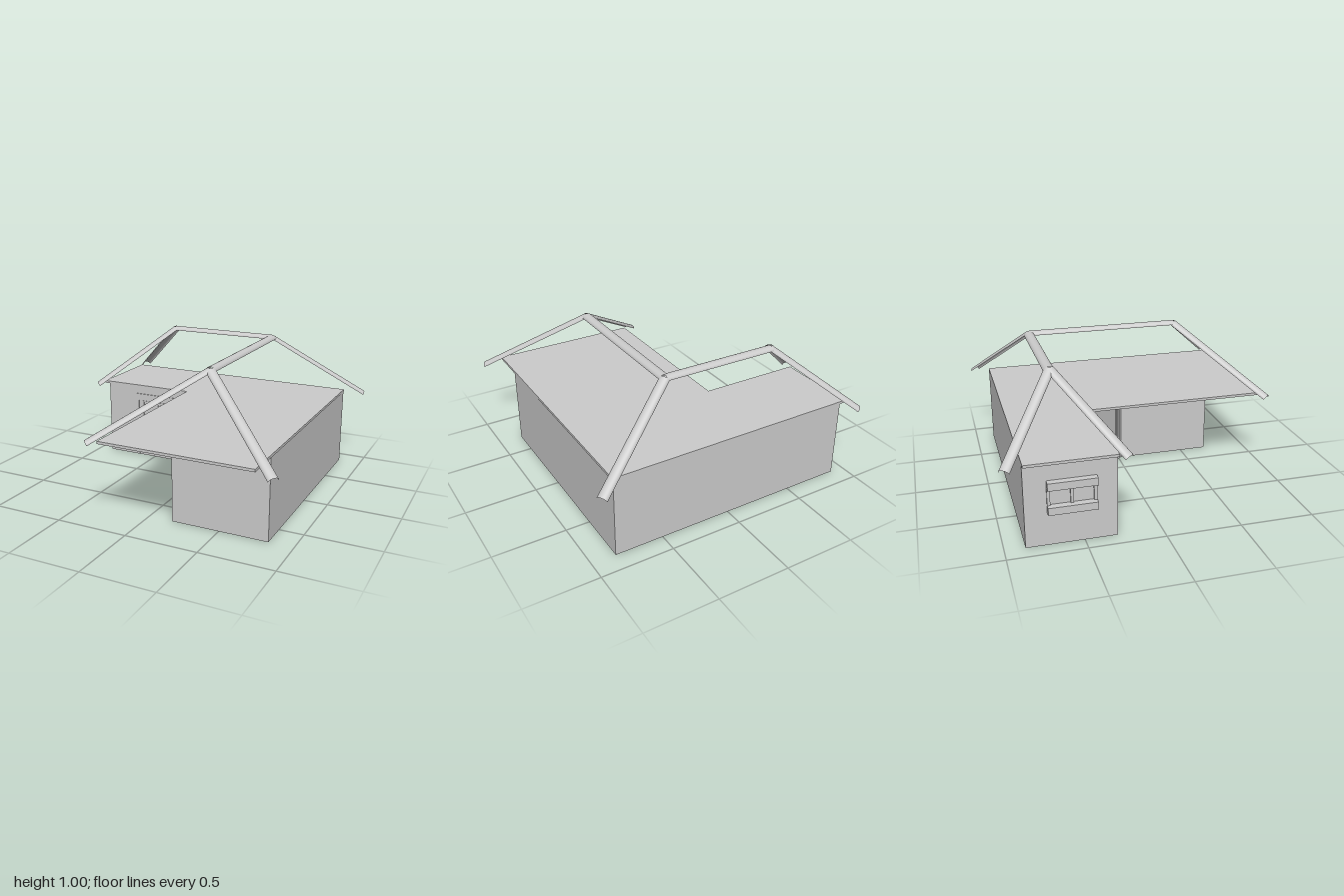
import * as THREE from 'three';

const WALL_H = 0.56;
const grey = new THREE.MeshStandardMaterial({ color: 0xcccccc, side: THREE.DoubleSide });

function add(parent, name, geometry) {
  const mesh = new THREE.Mesh(geometry, grey);
  mesh.name = name;
  parent.add(mesh);
  return mesh;
}

// box given by its two extreme corners
function box(parent, name, x0, x1, y0, y1, z0, z1) {
  const mesh = add(parent, name, new THREE.BoxGeometry(x1 - x0, y1 - y0, z1 - z0));
  mesh.position.set((x0 + x1) / 2, (y0 + y1) / 2, (z0 + z1) / 2);
  return mesh;
}

function rectPoints(x0, x1, y0, y1) {
  return [[x0, y0], [x1, y0], [x1, y1], [x0, y1]].map(([x, y]) => new THREE.Vector2(x, y));
}

// wall from a to b (x, z); the group's local x runs along it and local z points outdoors
function wall(parent, name, a, b, hole) {
  const dx = b[0] - a[0], dz = b[1] - a[1];
  const group = new THREE.Group();
  group.name = name;
  group.position.set(a[0], 0, a[1]);
  group.rotation.y = Math.atan2(-dz, dx);
  const shape = new THREE.Shape(rectPoints(0, Math.hypot(dx, dz), 0, WALL_H));
  if (hole) shape.holes.push(new THREE.Path(rectPoints(...hole)));
  add(group, name + 'Panel', new THREE.ShapeGeometry(shape));
  parent.add(group);
  return group;
}

// rectangular frame with an opening
function frame(parent, name, [x0, x1, y0, y1], bar, z0, z1) {
  const shape = new THREE.Shape(rectPoints(x0, x1, y0, y1));
  shape.holes.push(new THREE.Path(rectPoints(x0 + bar, x1 - bar, y0 + bar, y1 - bar)));
  const geometry = new THREE.ExtrudeGeometry(shape, { depth: z1 - z0, bevelEnabled: false });
  add(parent, name, geometry.translate(0, 0, z0));
}

// half-round cap tile laid from p to q
function ridgeCap(parent, name, p, q) {
  const start = new THREE.Vector3(...p), end = new THREE.Vector3(...q);
  const dir = end.clone().sub(start);
  const length = dir.length();
  dir.normalize();
  const side = new THREE.Vector3().crossVectors(dir, new THREE.Vector3(0, 1, 0)).normalize();
  const up = new THREE.Vector3().crossVectors(side, dir);
  const geometry = new THREE.CylinderGeometry(0.036, 0.036, length, 14, 1, true, -Math.PI / 2, Math.PI);
  geometry.scale(1, 1, 0.75);
  const mesh = add(parent, name, geometry);
  mesh.quaternion.setFromRotationMatrix(new THREE.Matrix4().makeBasis(side, dir, up));
  mesh.position.copy(start).add(end).multiplyScalar(0.5);
}

function addDoor(parent) {
  const door = new THREE.Group();
  door.name = 'door';
  parent.add(door);
  box(door, 'doorLeaf', 0.265, 0.545, 0, 0.49, -0.015, 0);
  // jambs and head
  box(door, 'doorJamb', 0.25, 0.265, 0, 0.5, -0.025, 0.004);
  box(door, 'doorJamb', 0.545, 0.56, 0, 0.5, -0.025, 0.004);
  box(door, 'doorHead', 0.25, 0.57, 0.49, 0.505, -0.025, 0.006);
  // moulded panels on both faces
  for (const x of [0.3, 0.425]) {
    for (const [y0, y1] of [[0.04, 0.185], [0.25, 0.45]]) {
      const rect = [x, x + 0.085, y0, y1];
      frame(door, 'panelMoulding', rect, 0.01, -0.02, 0.005);
      box(door, 'panelField', x + 0.02, x + 0.065, y0 + 0.02, y1 - 0.02, -0.017, 0.002);
    }
  }
  add(door, 'doorKnob', new THREE.SphereGeometry(0.01, 14, 10)).position.set(0.293, 0.212, 0.012);
}

function addCornerWindow(parent, rect) {
  const [x0, x1, y0, y1] = rect;
  frame(parent, 'outerWindowFrame', rect, 0.018, -0.015, 0.012);
  frame(parent, 'innerWindowFrame', [x0 + 0.018, x1 - 0.018, y0 + 0.018, y1 - 0.018], 0.012, -0.01, 0.003);
  box(parent, 'windowPane', x0 + 0.02, x1 - 0.02, y0 + 0.02, y1 - 0.02, -0.006, -0.003);
}

function addSideWindow(parent, [x0, x1, y0, y1]) {
  box(parent, 'windowSill', x0, x1, y0, y0 + 0.05, -0.01, 0.045);
  box(parent, 'windowLintel', x0, x1, y1 - 0.05, y1, -0.01, 0.045);
  const mid = (x0 + x1) / 2;
  for (const x of [x0, mid - 0.01, x1 - 0.02]) {
    box(parent, 'windowMullion', x, x + 0.02, y0 + 0.05, y1 - 0.05, -0.01, 0.01);
  }
  box(parent, 'windowPane', x0, x1, y0 + 0.05, y1 - 0.05, -0.006, -0.003);
}

export function createModel() {
  const house = new THREE.Group();
  house.name = 'house';

  // walls around the L-shaped plan, with a slanted inner corner
  const plan = [[0.17, 0.69], [0.835, 0.69], [0.835, -0.87], [-0.9, -0.87], [-0.9, -0.29], [-0.1, -0.29], [0.17, 0.02]];
  const names = ['frontWall', 'leftWall', 'backWall', 'rightWall', 'doorWall', 'cornerWall', 'porchWall'];
  const sideHole = [0.14, 0.45, 0.225, 0.438];
  const cornerHole = [0.02, 0.375, 0.13, 0.52];
  const holes = { rightWall: sideHole, doorWall: [0.26, 0.55, 0, 0.495], cornerWall: cornerHole };
  const walls = {};
  names.forEach((name, i) => {
    walls[name] = wall(house, name, plan[i], plan[(i + 1) % plan.length], holes[name]);
  });
  addDoor(walls.doorWall);
  addCornerWindow(walls.cornerWall, cornerHole);
  addSideWindow(walls.rightWall, sideHole);

  // flat ceiling slab overhanging the porch
  const slab = new THREE.Shape([[-0.94, 0.87], [-0.94, 0.288], [-0.215, 0.288], [-0.215, -0.95], [0.838, -0.95], [0.838, 0.87]]
    .map(([x, y]) => new THREE.Vector2(x, y)));
  const slabGeometry = new THREE.ExtrudeGeometry(slab, { depth: 0.018, bevelEnabled: false });
  add(house, 'ceilingSlab', slabGeometry.rotateX(-Math.PI / 2).translate(0, 0.556, 0));

  // ridge and hip caps of the roof
  const west = [-0.465, 0.975, -0.61], bend = [0.335, 0.972, -0.615], south = [0.335, 0.972, 0.47];
  ridgeCap(house, 'crossRidge', [-0.47, 0.97, -0.615], bend);
  ridgeCap(house, 'mainRidge', [0.335, 0.972, -0.61], south);
  ridgeCap(house, 'hipCap', west, [-0.96, 0.55, -0.977]);
  ridgeCap(house, 'hipCap', west, [-0.96, 0.55, -0.233]);
  ridgeCap(house, 'hipCap', bend, [0.955, 0.53, -0.968]);
  ridgeCap(house, 'hipCap', south, [-0.28, 0.55, 0.97]);
  ridgeCap(house, 'hipCap', south, [0.955, 0.53, 0.97]);
  return house;
}
